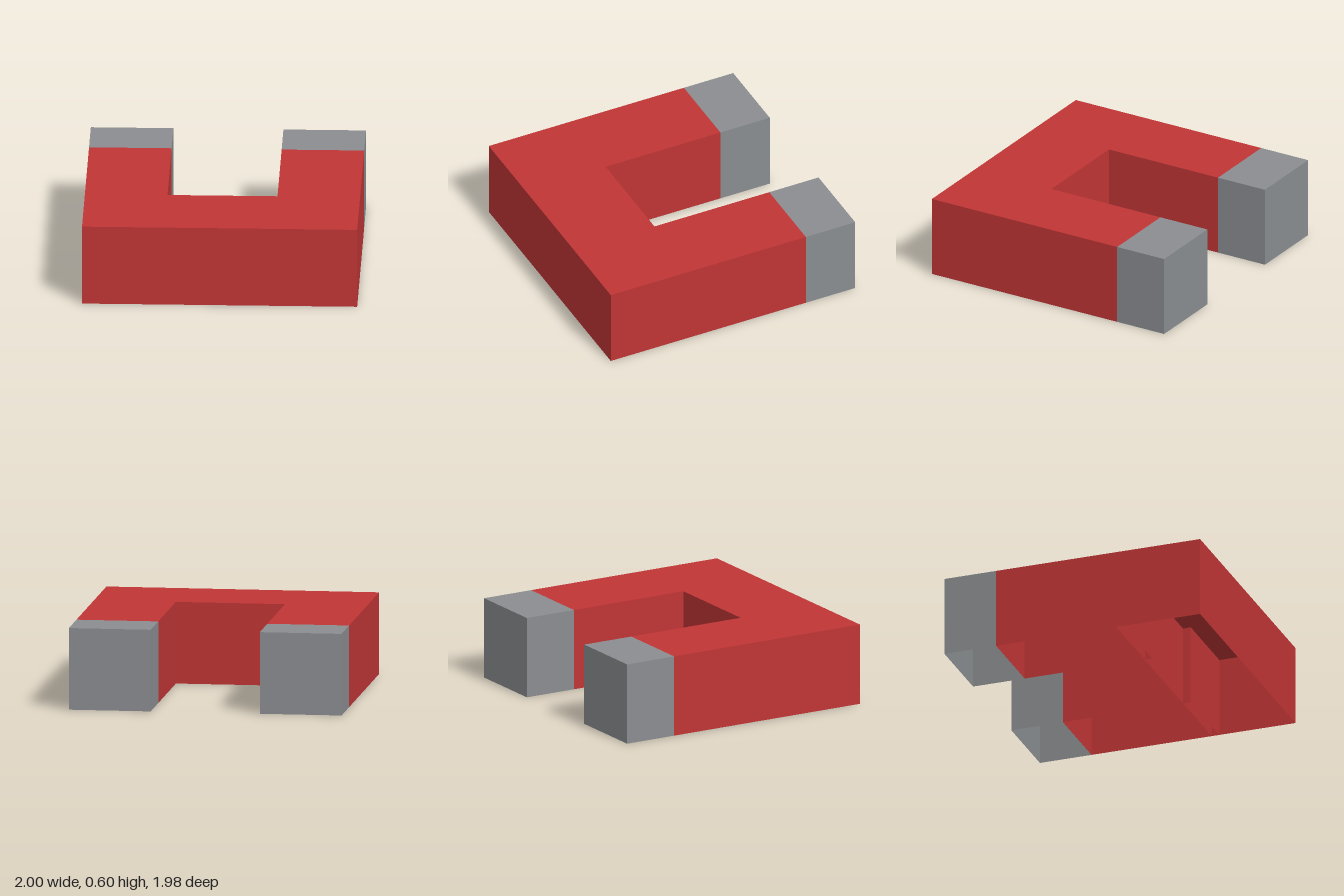
import * as THREE from 'three';

const HEIGHT = 0.6;
const LEG_WIDTH = 0.6;
const LEG_X = 0.7;

// Hollow box with no floor; the +z wall can be left off too.
function openBox(width, zBack, zFront, hasFrontWall = true) {
  const depth = zFront - zBack;
  const geometry = new THREE.BoxGeometry(width, HEIGHT, depth);
  // Box faces come in the order +x, -x, +y, -y, +z, -z, six indices each.
  const index = Array.from(geometry.index.array);
  const kept = index.filter((_, i) => {
    const face = Math.floor(i / 6);
    return face !== 3 && (face !== 4 || hasFrontWall);
  });
  geometry.setIndex(kept);
  geometry.clearGroups();
  geometry.translate(0, HEIGHT / 2, (zBack + zFront) / 2);
  return geometry;
}

export function createModel() {
  const model = new THREE.Group();
  model.name = 'horseshoeMagnet';

  const red = new THREE.MeshStandardMaterial({ color: 0xc03535, side: THREE.DoubleSide });
  red.name = 'red';
  const grey = new THREE.MeshStandardMaterial({ color: 0x8a8d90, side: THREE.DoubleSide });
  grey.name = 'steel grey';

  const add = (name, geometry, material, x = 0) => {
    const mesh = new THREE.Mesh(geometry, material);
    mesh.name = name;
    mesh.position.x = x;
    model.add(mesh);
  };

  // Bar joining the two legs at the front
  add('crossBar', openBox(2, 0.34, 0.99), red);

  // Legs run slightly into the bar; each ends in a grey pole tip
  const legGeometry = openBox(LEG_WIDTH, -0.59, 0.4);
  const tipGeometry = openBox(LEG_WIDTH, -0.99, -0.59, false);
  for (const [side, sign] of [['left', 1], ['right', -1]]) {
    add(`${side}Leg`, legGeometry, red, sign * LEG_X);
    add(`${side}PoleTip`, tipGeometry, grey, sign * LEG_X);
  }

  return model;
}
